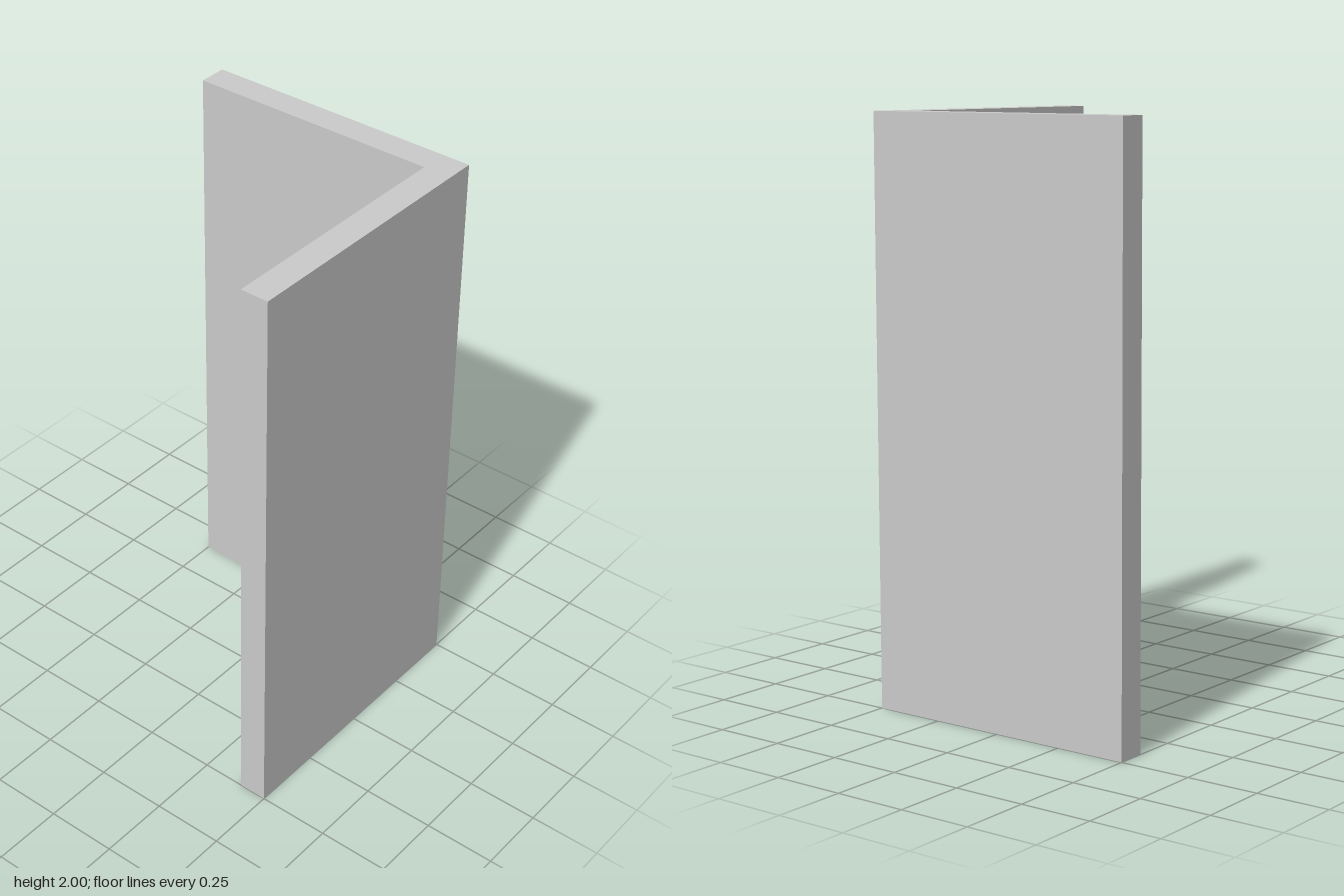
import * as THREE from 'three';

export function createModel() {
  const group = new THREE.Group();
  group.name = 'cornerProfile';

  const half = 0.5;      // half the width of each flange
  const thickness = 0.1;
  const height = 2;
  const inner = half - thickness;

  // L-shaped plan; shape y becomes -z once the extrusion stands upright
  const plan = new THREE.Shape([
    [-half, -half], [half, -half], [half, half],
    [inner, half], [inner, -inner], [-half, -inner],
  ].map(([x, y]) => new THREE.Vector2(x, y)));

  const geometry = new THREE.ExtrudeGeometry(plan, { depth: height, bevelEnabled: false });
  geometry.rotateX(-Math.PI / 2);

  // Front and left flanges in one solid piece
  const angle = new THREE.Mesh(
    geometry,
    new THREE.MeshStandardMaterial({ color: 0xcccccc, flatShading: true }),
  );
  angle.name = 'angleFlanges';
  group.add(angle);
  return group;
}
